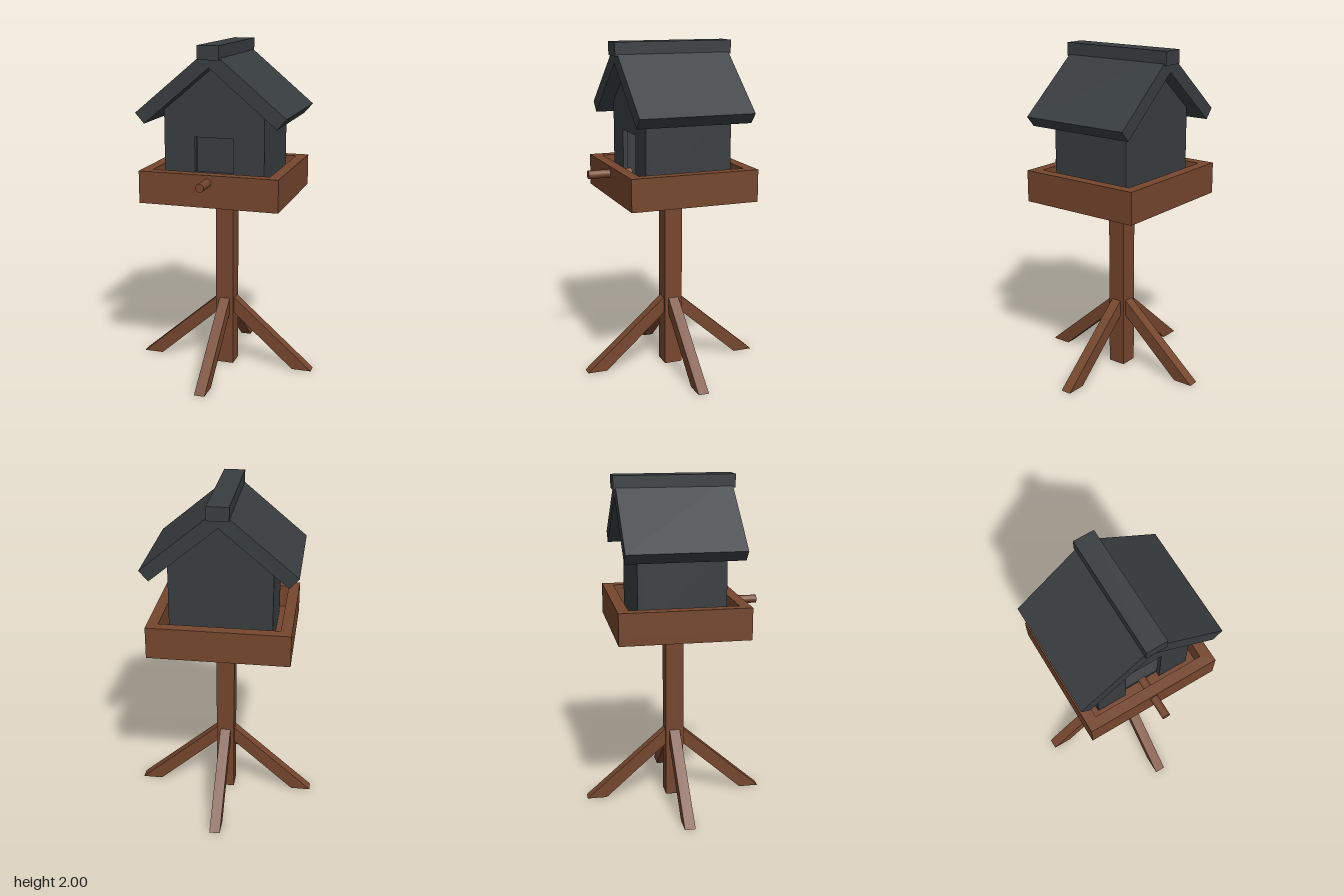
import * as THREE from 'three';

const wood = new THREE.MeshStandardMaterial({ color: 0x75462d });
const slate = new THREE.MeshStandardMaterial({ color: 0x383d40 });

const toShape = (pts) => new THREE.Shape(pts.map(([x, y]) => new THREE.Vector2(x, y)));

// Extrudes a front-facing outline from z0 to z1
function slab(shape, z0, z1) {
  return new THREE.ExtrudeGeometry(shape, { depth: z1 - z0, bevelEnabled: false }).translate(0, 0, z0);
}

// Box given by its minimum and maximum corners
function block([x0, y0, z0], [x1, y1, z1]) {
  return new THREE.BoxGeometry(x1 - x0, y1 - y0, z1 - z0)
    .translate((x0 + x1) / 2, (y0 + y1) / 2, (z0 + z1) / 2);
}

export function createModel() {
  const model = new THREE.Group();
  model.name = 'birdTable';
  const add = (name, geometry, material) => {
    const mesh = new THREE.Mesh(geometry, material);
    mesh.name = name;
    model.add(mesh);
    return mesh;
  };

  // Post and four splayed legs with feet cut level
  add('post', block([-0.055, 0, -0.055], [0.055, 1.1, 0.055]), wood);
  const legShape = toShape([[0.05, 0.335], [0.43, 0], [0.55, 0], [0.05, 0.435]]);
  for (let i = 0; i < 4; i++) {
    add('leg', slab(legShape, -0.032, 0.032), wood).rotation.y = i * Math.PI / 2;
  }

  // Tray: floor with a raised rim
  const X = 0.415, Z = 0.385, T = 0.065, floorY = 1.14;
  add('trayFloor', block([-X, 1.09, -Z], [X, floorY, Z]), wood);
  const rim = toShape([[-X, -Z], [X, -Z], [X, Z], [-X, Z]]);
  const ix = X - T, iz = Z - T;
  rim.holes.push(toShape([[-ix, -iz], [-ix, iz], [ix, iz], [ix, -iz]]));
  add('trayRim', slab(rim, 0, 1.28 - floorY).rotateX(-Math.PI / 2).translate(0, floorY, 0), wood);

  // Perch through the front rim
  add('perch', new THREE.CylinderGeometry(0.025, 0.025, 0.265, 16)
    .rotateX(Math.PI / 2).translate(0, 1.235, 0.3825), wood);

  // Hollow house: gabled sleeve closed by a front with a doorway and a plain back
  const slope = 0.838, wall = 0.03, apex = 1.874;
  const gable = (w, bottom, top) => [
    [-w, bottom], [w, bottom], [w, top - w * slope], [0, top], [-w, top - w * slope],
  ];
  const outline = gable(0.3, floorY, apex);
  const sleeve = toShape(outline);
  sleeve.holes.push(toShape(gable(0.3 - wall, floorY + 0.02, apex - 0.04).reverse()));
  add('houseWalls', slab(sleeve, -0.23, 0.23), slate);
  add('houseBack', slab(toShape(outline), -0.26, -0.23), slate);
  const front = toShape([
    [-0.3, floorY], [-0.115, floorY], [-0.115, 1.472], [0.115, 1.472], [0.115, floorY],
    ...outline.slice(1),
  ]);
  add('houseFront', slab(front, 0.23, 0.26), slate);

  // Two sloping roof panels, meeting under the ridge cap
  for (const s of [-1, 1]) {
    const pts = [[0, 1.877], [s * 0.392, 1.549], [s * 0.445, 1.61], [0, 1.982]];
    add('roofPanel', slab(toShape(pts), -0.345, 0.345), slate);
  }
  add('ridgeCap', block([-0.063, 1.92, -0.36], [0.063, 2, 0.36]), slate);

  return model;
}
